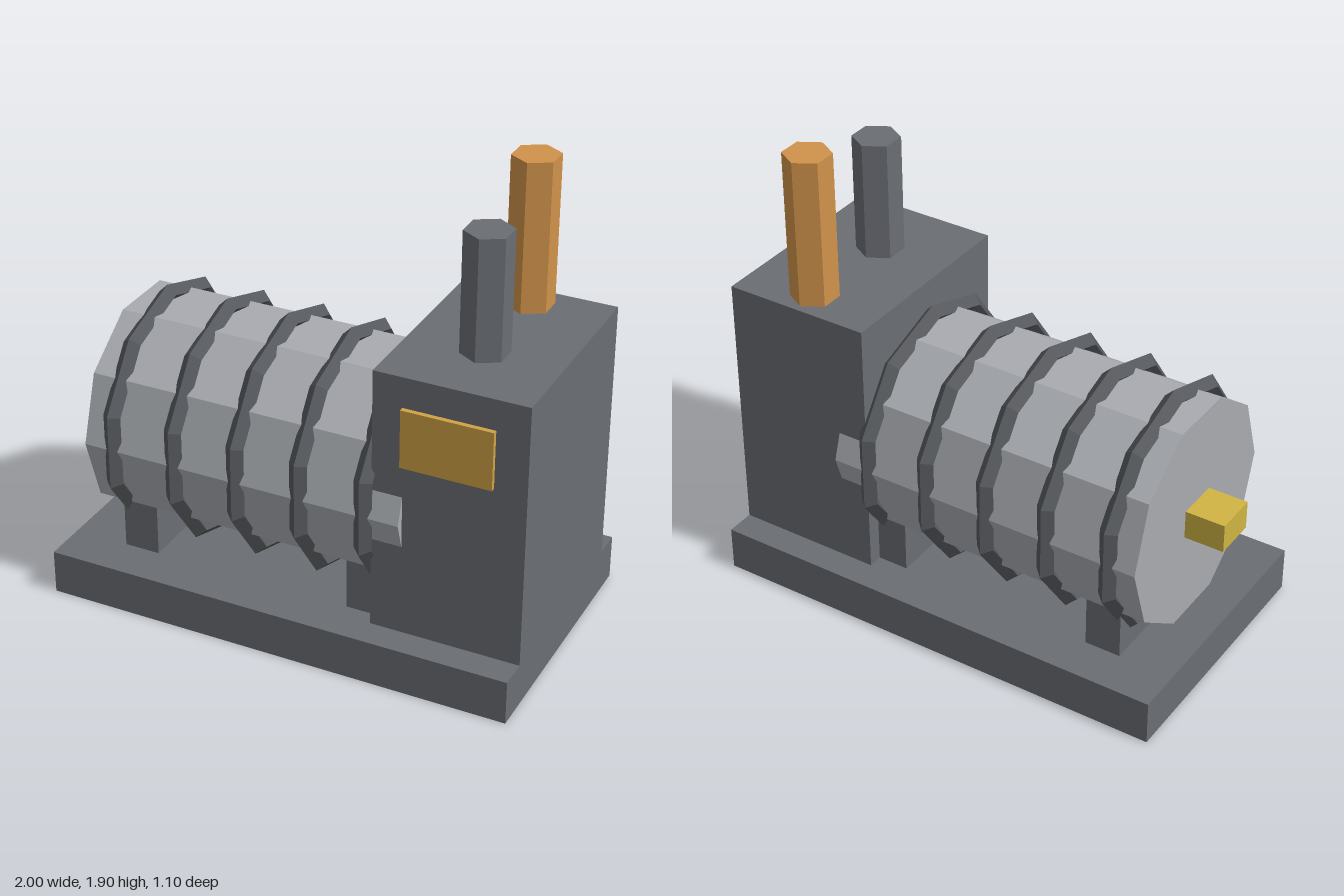
import * as THREE from 'three';

const mat = (name, color) => {
  const m = new THREE.MeshStandardMaterial({ color });
  m.name = name;
  return m;
};

export function createModel() {
  const model = new THREE.Group();
  model.name = 'drumMachine';

  const steel = mat('darkSteel', 0x6a6e74);
  const drumGrey = mat('lightGrey', 0xa8abb0);
  const ringGrey = mat('charcoal', 0x55585c);
  const copper = mat('copper', 0xd0924a);
  const amber = mat('amber', 0xd0a245);
  const brass = mat('brass', 0xd0b443);

  // Faceted mesh: every face gets its own normal
  const add = (name, geometry, material, x, y, z) => {
    const flat = geometry.toNonIndexed();
    flat.computeVertexNormals();
    const mesh = new THREE.Mesh(flat, material);
    mesh.name = name;
    mesh.position.set(x, y, z);
    model.add(mesh);
  };

  // Box given by its minimum and maximum corners
  const addBox = (name, material, [x0, y0, z0], [x1, y1, z1]) =>
    add(name, new THREE.BoxGeometry(x1 - x0, y1 - y0, z1 - z0), material,
      (x0 + x1) / 2, (y0 + y1) / 2, (z0 + z1) / 2);

  // Base plate and housing
  addBox('basePlate', steel, [-0.96, 0, -0.55], [1, 0.185, 0.55]);
  addBox('housing', steel, [0.385, 0.185, -0.43], [1, 1.285, 0.43]);
  addBox('frontPanel', amber, [0.505, 0.92, 0.42], [0.87, 1.16, 0.45]);

  // Drum supports
  for (const x of [-0.73, 0.255]) {
    addBox('drumSupport', steel, [x, 0.185, -0.37], [x + 0.15, 0.45, 0.37]);
  }

  // Ten-sided drum lying along x
  const axisY = 0.675;
  add('drum', new THREE.CylinderGeometry(0.465, 0.465, 1.345, 10).rotateZ(Math.PI / 2),
    drumGrey, -0.1625, axisY, 0);

  // Diamond-section hoops, each with a corner at the top
  for (let i = 0; i < 5; i++) {
    const hoop = new THREE.TorusGeometry(0.475, 0.038, 4, 10)
      .rotateZ(Math.PI / 2).rotateY(Math.PI / 2);
    add('drumHoop', hoop, ringGrey, -0.715 + i * 0.269, axisY, 0);
  }

  // Square drive shaft on the drum end
  addBox('driveShaft', brass, [-1, 0.615, -0.09], [-0.82, 0.735, 0.09]);

  // Hexagonal stacks on the housing
  const addStack = (name, material, top, z) => {
    const height = top - 1.27;
    add(name, new THREE.CylinderGeometry(0.096, 0.096, height, 6), material,
      0.692, top - height / 2, z);
  };
  addStack('shortStack', steel, 1.778, 0.123);
  addStack('tallStack', copper, 1.9, -0.307);

  return model;
}
